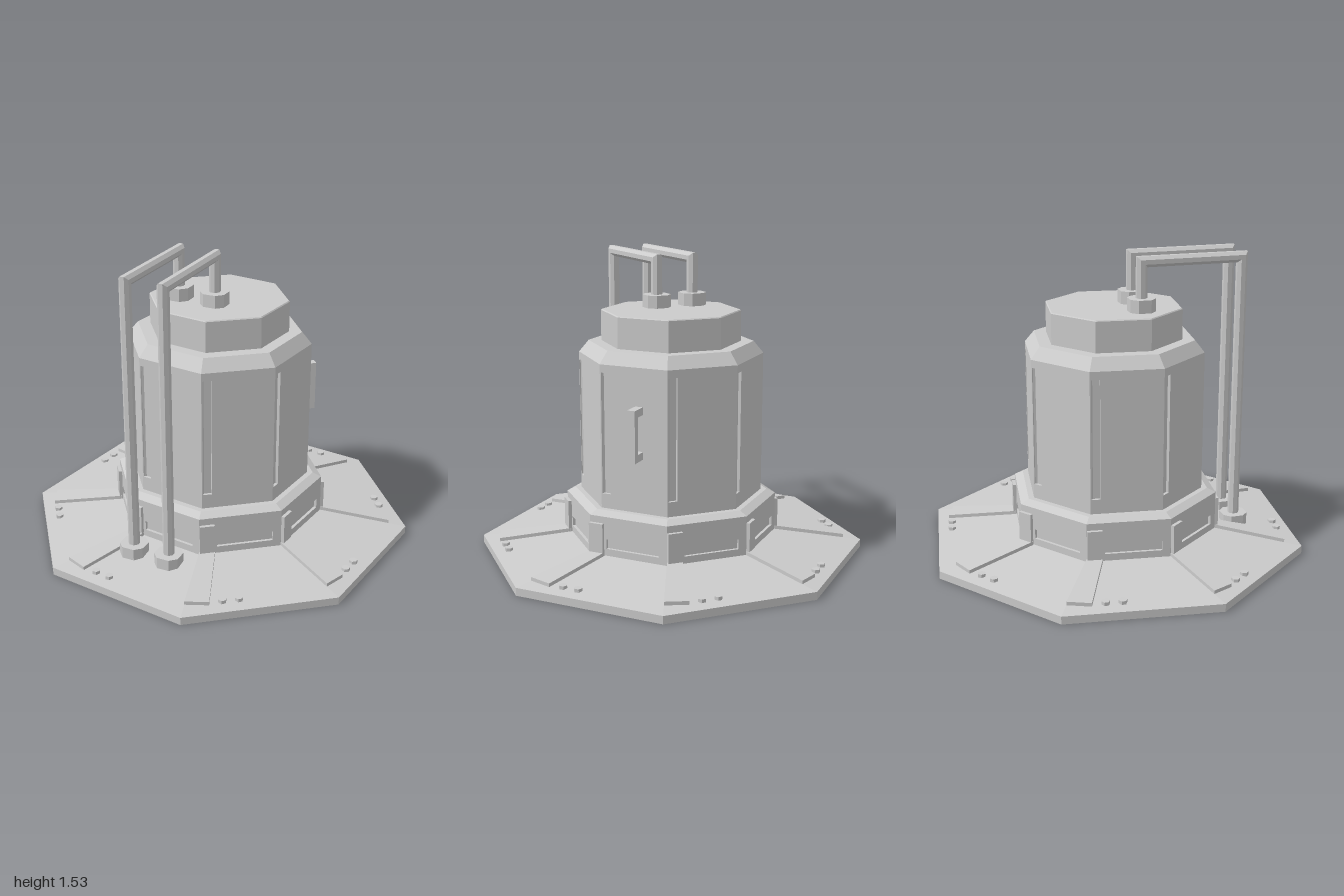
import * as THREE from 'three';

const STEP = Math.PI / 4, HALF = Math.PI / 8;
const SIN = Math.sin(HALF), COS = Math.cos(HALF);
const mat = new THREE.MeshStandardMaterial({ color: 0xcccccc, flatShading: true });

function add(parent, name, geometry, x = 0, y = 0, z = 0) {
  const mesh = new THREE.Mesh(geometry, mat);
  mesh.name = name;
  mesh.position.set(x, y, z);
  parent.add(mesh);
  return mesh;
}

const polygon = (pts) => new THREE.Shape(pts.map(([x, y]) => new THREE.Vector2(x, y)));
const rect = (x0, y0, x1, y1) => [[x0, y0], [x1, y0], [x1, y1], [x0, y1]];
const extrude = (shape, depth) => new THREE.ExtrudeGeometry(shape, { depth, bevelEnabled: false });

// Flat extrusion lying on the ground plane, outline given as (x, z)
const slab = (pts, height) =>
  extrude(polygon(pts.map(([x, z]) => [x, -z])), height).rotateX(-Math.PI / 2);

// Height of the sloped base facet lying on the +x side of the +z corner
const slope = (x, z) => 0.04 + 0.129 * (COS - (x * SIN + z * COS));

// One octagon wall with a recess cut out; the recess starts at the left corner
function wall(radius, y0, y1, from, to, h0, h1) {
  const w = radius * SIN;
  const shape = polygon(rect(-w, y0, w, y1));
  shape.holes.push(polygon(rect(-w + from, h0, -w + to, h1).reverse()));
  return extrude(shape, 0.02).translate(0, 0, radius * COS - 0.02);
}

// Octagonal pipe: up, across along +x, and down, with mitred corners
function pipeGeometry(length, y0, height, y1) {
  const g = new THREE.CylinderGeometry(0.029, 0.029, 3, 8, 3, true);
  g.rotateY(HALF);
  const p = g.attributes.position;
  for (let i = 0; i < p.count; i++) {
    const u = p.getX(i), v = p.getZ(i), row = Math.round(p.getY(i) + 1.5);
    const x = row < 2 ? u : length - u;
    const y = [y0, height - u, height - u, y1][row];
    p.setXYZ(i, x, y, v);
  }
  return g;
}

export function createModel() {
  const model = new THREE.Group();
  model.name = 'tank';

  // Octagonal core: sloped base, plinth, body and cap
  const profile = [
    [0, 0], [1, 0], [1, 0.04], [0.545, 0.0942], [0.529, 0.0942],
    [0.529, 0.295], [0.545, 0.295], [0.5, 0.315], [0.454, 0.315],
    [0.454, 1.04], [0.47, 1.04], [0.42, 1.1], [0.355, 1.1],
    [0.355, 1.255], [0.35, 1.26], [0, 1.26],
  ].map(([x, y]) => new THREE.Vector2(x, y));
  add(model, 'core', new THREE.LatheGeometry(profile, 8));

  // Walls, posts, ribs and bolts, repeated around the octagon
  const plinthWall = wall(0.545, 0.08, 0.295, 0.09, 0.375, 0.13, 0.18);
  const bodyWall = wall(0.47, 0.31, 1.04, 0.006, 0.05, 0.39, 1.0);
  const post = new THREE.BoxGeometry(0.075, 0.18, 0.035);
  const rib = slab([[0, 0.54], [0, 0.91], [0.115, 0.89], [0.075, 0.52]], 0.018);
  const rp = rib.attributes.position;
  for (let i = 0; i < rp.count; i++) {
    rp.setY(i, rp.getY(i) + slope(rp.getX(i), rp.getZ(i)));
  }
  const bolt = new THREE.CylinderGeometry(0.021, 0.021, 0.03, 6);

  for (let i = 0; i < 8; i++) {
    const facet = new THREE.Group();
    facet.name = 'side';
    facet.rotation.y = HALF + i * STEP;
    add(facet, 'plinthWall', plinthWall);
    add(facet, 'bodyWall', bodyWall);
    add(facet, 'post', post, -0.545 * SIN + 0.0385, 0.17, 0.545 * COS);

    const corner = new THREE.Group();
    corner.name = 'baseSection';
    corner.rotation.y = i * STEP;
    add(corner, 'rib', rib);
    for (const [x, z] of [[0.245, 0.82], [0.17, 0.85]]) {
      add(corner, 'bolt', bolt, x, slope(x, z), z);
    }
    model.add(facet, corner);
  }

  // C-shaped handle on the front left side
  const handle = new THREE.Group();
  handle.name = 'handle';
  handle.rotation.y = HALF + STEP;
  const outline = polygon([
    [0.42, 0.59], [0.522, 0.59], [0.522, 0.85], [0.42, 0.85],
    [0.42, 0.812], [0.487, 0.812], [0.487, 0.628], [0.42, 0.628],
  ]);
  const grip = extrude(outline, 0.04).translate(0, 0, -0.02).rotateY(-Math.PI / 2);
  add(handle, 'grip', grip, 0.03, 0, 0);
  model.add(handle);

  // Two pipes running from the base to the cap, each end in a socket
  const a = 0.065, c = 0.032;
  const socket = slab([[-c, -a], [c, -a], [a, -c], [a, c], [c, a], [-c, a], [-a, c], [-a, -c]], 0.065);
  const span = 0.52;
  const pipe = pipeGeometry(span, 0.06, 1.503, 1.25);
  for (const [x, z] of [[-0.62, 0.152], [-0.53, 0.332]]) {
    const line = new THREE.Group();
    line.name = 'pipeLine';
    line.position.set(x, 0, z);
    line.rotation.y = 0.515;
    add(line, 'pipe', pipe);
    add(line, 'lowerSocket', socket, 0, 0.065, 0);
    add(line, 'upperSocket', socket, span, 1.26, 0);
    model.add(line);
  }
  return model;
}
